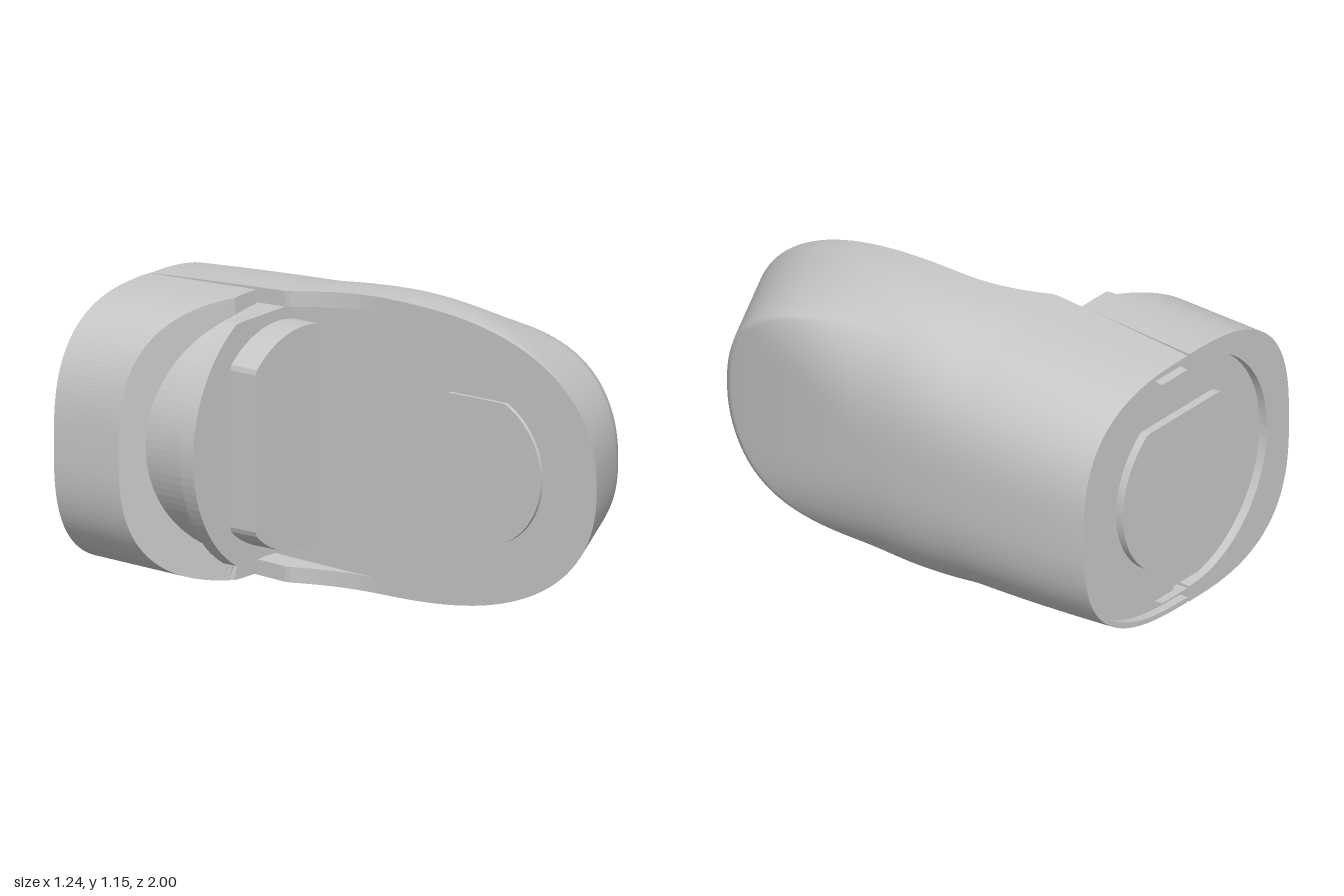
import * as THREE from 'three';
import { mergeVertices } from 'three/addons/utils/BufferGeometryUtils.js';

const CY = 0.575;                 // height of the central axis
const EXP = 2 / 2.8;              // squareness of the rounded sections
const BACK = -0.965;              // depth of the recessed back
const { clamp, lerp, smoothstep } = THREE.MathUtils;

const housing = new THREE.MeshStandardMaterial({ color: 0xc8c8c8, side: THREE.DoubleSide });
housing.name = 'grey';

// Surface through rows of [x, y, z] points
function skin(rows, smooth) {
  const n = rows[0].length, index = [];
  for (let i = 0; i < rows.length - 1; i++) {
    for (let j = 0; j < n - 1; j++) {
      const a = i * n + j, b = a + n;
      index.push(a, b, a + 1, b, b + 1, a + 1);
    }
  }
  let g = new THREE.BufferGeometry();
  g.setAttribute('position', new THREE.Float32BufferAttribute(rows.flat(2), 3));
  g.setIndex(index);
  g = smooth ? mergeVertices(g, 1e-4) : g.toNonIndexed();
  g.computeVertexNormals();
  return g;
}

// Disc with two opposite flats, extruded from z0 to z1
function flatDisc(r, clipX, clipY, z0, z1) {
  const pts = [];
  for (let i = 0; i < 96; i++) {
    const a = i / 96 * Math.PI * 2;
    pts.push(new THREE.Vector2(clamp(r * Math.cos(a), -clipX, clipX), clamp(r * Math.sin(a), -clipY, clipY)));
  }
  const g = new THREE.ExtrudeGeometry(new THREE.Shape(pts), { depth: z1 - z0, bevelEnabled: false });
  return g.translate(0, 0, z0);
}

// Half a rounded square on a unit scale: [outward, upward] from bottom to top
function halfSection(steps) {
  return Array.from({ length: steps + 1 }, (_, i) => {
    const a = (i / steps - 0.5) * Math.PI, s = Math.sin(a);
    return [Math.max(0, Math.cos(a)) ** EXP, Math.sign(s) * Math.abs(s) ** EXP];
  });
}

// Half height, half width and inner edge of the long shell at depth z
const halfHeight = z => z > 0
  ? 0.575 * Math.max(0, 1 - z ** 2.6) ** 0.435
  : 0.575 - 0.047 * (-z) ** 1.4;
const halfWidth = z => z > 0 ? 0.604 - 0.072 * z - 0.1 * z * z : 0.62 - 0.08 * (z + 0.45) ** 2;
const innerEdge = z => -0.02 + 0.11 * (1 - clamp(-z / 0.36, 0, 1) ** 2);

// Side outline, from the back top round the nose to the back bottom
function sideOutline(zStart) {
  const top = [];
  for (let i = 0; i < 24; i++) top.push(zStart * (1 - i / 24));
  for (let i = 0; i <= 32; i++) top.push(Math.sin(i / 32 * Math.PI / 2));
  const upper = top.map(z => [z, halfHeight(z)]);
  return [...upper, ...upper.slice(0, -1).reverse().map(([z, h]) => [z, -h])];
}

// Point on the shell: v runs from the inner edge (0) to the middle of the side (1)
function shellPoint(z0, h, v) {
  const a = (1 - v) * Math.PI / 2;
  const r = Math.max(0, Math.sin(a)) ** EXP;
  const spine = Math.min(z0, 0);
  const z = spine + (z0 - spine) * r;
  const xi = innerEdge(z0);
  let x = xi + (halfWidth(z) - xi) * Math.max(0, Math.cos(a)) ** EXP;
  if (z0 > 0) {                   // slanted nose
    const nose = r > 0.81 ? lerp(halfWidth(0.81 * z0), 0.09, (r - 0.81) / 0.19) : halfWidth(z);
    x = lerp(x, nose, smoothstep(z0, 0, 0.9));
  }
  return [x, CY + h * r, z];
}

export function createModel() {
  const group = new THREE.Group();
  const add = (name, geometry, y = 0) => {
    const mesh = new THREE.Mesh(geometry, housing);
    mesh.name = name;
    mesh.position.y = y;
    group.add(mesh);
  };

  // Long outer shell
  const COLS = 32;
  add('longShell', skin(sideOutline(-1).map(([z, h]) =>
    Array.from({ length: COLS + 1 }, (_, j) => shellPoint(z, h, j / COLS))), true));

  // Flat inner face of the shell, kept just under the skin behind the nose
  const face = new THREE.ShapeGeometry(new THREE.Shape(sideOutline(-0.6).map(([z, h]) =>
    new THREE.Vector2(-z, h - Math.sign(h) * 0.008 * clamp(-z * 10, 0, 1)))));
  add('innerFace', face.rotateY(Math.PI / 2).translate(0.09, 0, 0), CY);

  // Thick wall edges beside the joint, top and bottom
  for (const s of [1, -1]) {
    const rows = [];
    for (let i = 0; i <= 40; i++) {
      const z = -1 + i / 40, x = innerEdge(z), h = halfHeight(z);
      rows.push([[x, CY + s * h, z], [x, CY + s * (h - 0.06), z], [0.13, CY + s * (h - 0.06), z]]);
    }
    add(s > 0 ? 'upperWallEdge' : 'lowerWallEdge', skin(rows, false));
  }

  // Thin rim at the shell's back and the recessed plate inside it
  const rim = [], plate = [];
  const w = halfWidth(-1) + 0.02, h = halfHeight(-1);
  for (const [c, s] of halfSection(48)) {
    const xn = -0.02 + (w - 0.02) * c, yn = CY + (h - 0.02) * s;
    rim.push([[-0.02 + w * c, CY + h * s, -1], [xn, yn, -1], [xn, yn, BACK]]);
    plate.push(new THREE.Vector2(Math.max(xn, 0.02), yn));
  }
  add('backRim', skin(rim, false));
  add('backPlate', new THREE.ShapeGeometry(new THREE.Shape(plate)).translate(0, 0, BACK));

  // Short side cap: rounded outside, round bore, slanted front
  const frontCut = x => -0.5 - 0.22 * clamp((-x - 0.16) / 0.43, 0, 1);
  const cap = halfSection(96).map(([c, s]) => {
    const xb = -0.03 - 0.59 * c, xf = -0.03 - 0.56 * c;
    const bore = Math.atan2(0.55 * s, 0.56 * c);
    const xi = -0.03 - 0.46 * Math.cos(bore), yi = CY + 0.015 + 0.48 * Math.sin(bore);
    return [
      [xb, CY + 0.53 * s, -1], [xf, CY + 0.55 * s, frontCut(xf)],
      [xi, yi, frontCut(xi)], [xi, yi, -1], [xb, CY + 0.53 * s, -1],
    ];
  });
  add('sideCap', skin(cap, false));
  for (const [name, e] of [['lowerCapEnd', cap[0]], ['upperCapEnd', cap[96]]]) {
    add(name, skin([[e[0], e[1]], [e[3], e[2]]], false));
  }

  // Core: hub, flange and the front and back bosses
  add('hub', flatDisc(0.49, 1, 0.47, BACK, -0.47), CY + 0.015);
  add('flange', flatDisc(0.54, 1, 0.47, -0.47, -0.41), CY + 0.015);
  add('frontBoss', flatDisc(0.43, 0.29, 1, -0.41, -0.29).translate(-0.02, 0, 0), CY + 0.01);
  add('backBoss', flatDisc(0.36, 1, 0.29, -0.998, BACK), CY);

  // Raised pad on the inner face
  const pad = flatDisc(0.3, 1, 0.27, 0, 0.015);
  add('innerPad', pad.rotateY(-Math.PI / 2).translate(0.09, 0, 0.45), CY - 0.005);

  return group;
}
